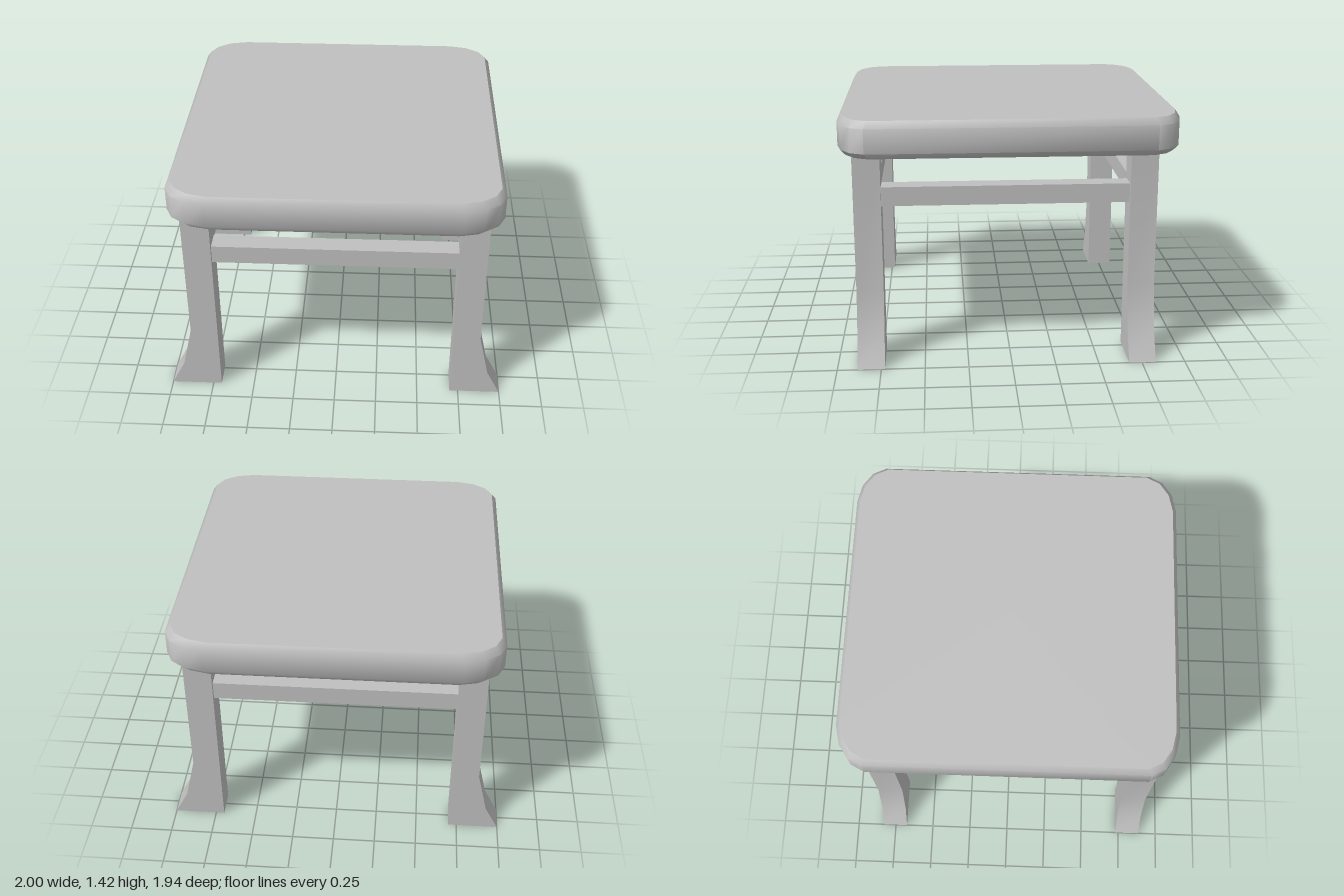
import * as THREE from 'three';
import { toCreasedNormals } from 'three/addons/utils/BufferGeometryUtils.js';

// Cushion-like slab: a rounded rectangle outline stacked in rings with bevelled rims
function seatGeometry() {
  const corner = [[0.94, 0.81], [0.9, 0.89], [0.82, 0.945], [0.71, 0.97]];
  const back = corner.slice().reverse();
  const outline = [
    ...corner,
    ...back.map(([x, z]) => [-x, z]),
    ...corner.map(([x, z]) => [-x, -z]),
    ...back.map(([x, z]) => [x, -z]),
  ];
  // height, x scale, z scale
  const rings = [[1.21, 0.965, 0.975], [1.245, 1, 1], [1.385, 1, 1], [1.425, 0.97, 0.975]];
  const n = outline.length;
  const positions = [];
  const index = [];
  for (const [y, sx, sz] of rings) {
    for (const [x, z] of outline) positions.push(x * sx, y, z * sz);
  }
  positions.push(0, rings[0][0], 0, 0, rings[3][0], 0);
  const bottom = n * rings.length;
  const top = bottom + 1;
  for (let i = 0; i < n; i++) {
    const k = (i + 1) % n;
    for (let j = 0; j < rings.length - 1; j++) {
      const a = j * n + i, b = j * n + k;
      index.push(a, a + n, b, b, a + n, b + n);
    }
    index.push(bottom, i, k);
    index.push(top, 3 * n + k, 3 * n + i);
  }
  const geometry = new THREE.BufferGeometry();
  geometry.setAttribute('position', new THREE.Float32BufferAttribute(positions, 3));
  geometry.setIndex(index);
  return toCreasedNormals(geometry, 0.78);
}

// Square leg whose outer side flares out at the foot
function legGeometry(side) {
  const profile = [[0.7, 0], [1, 0], [0.92, 0.155], [0.86, 0.42], [0.86, 1.22], [0.7, 1.22]];
  const shape = new THREE.Shape(profile.map(([x, y]) => new THREE.Vector2(side * x, y)));
  const geometry = new THREE.ExtrudeGeometry(shape, { depth: 0.155, bevelEnabled: false });
  geometry.translate(0, 0, -0.0775);
  return toCreasedNormals(geometry, 0.5);
}

export function createModel() {
  const grey = new THREE.MeshStandardMaterial({ color: 0xc0c0c0 });
  grey.name = 'plain grey';
  const group = new THREE.Group();
  group.name = 'stool';

  function add(name, geometry, x = 0, y = 0, z = 0) {
    const mesh = new THREE.Mesh(geometry, grey);
    mesh.name = name;
    mesh.position.set(x, y, z);
    group.add(mesh);
  }

  add('seat', seatGeometry());

  const frontZ = 0.807, backZ = -0.753;
  const barY = 0.975, barSize = 0.11;

  // Legs and the rails between them
  for (const [end, z] of [['front', frontZ], ['back', backZ]]) {
    add(`${end}LeftLeg`, legGeometry(1), 0, 0, z);
    add(`${end}RightLeg`, legGeometry(-1), 0, 0, z);
    add(`${end}Rail`, new THREE.BoxGeometry(1.4, barSize, barSize), 0, barY, z);
  }
  for (const [name, side] of [['leftRail', 1], ['rightRail', -1]]) {
    const length = frontZ - backZ - 0.155;
    add(name, new THREE.BoxGeometry(barSize, barSize, length), side * 0.78, barY, (frontZ + backZ) / 2);
  }
  return group;
}
